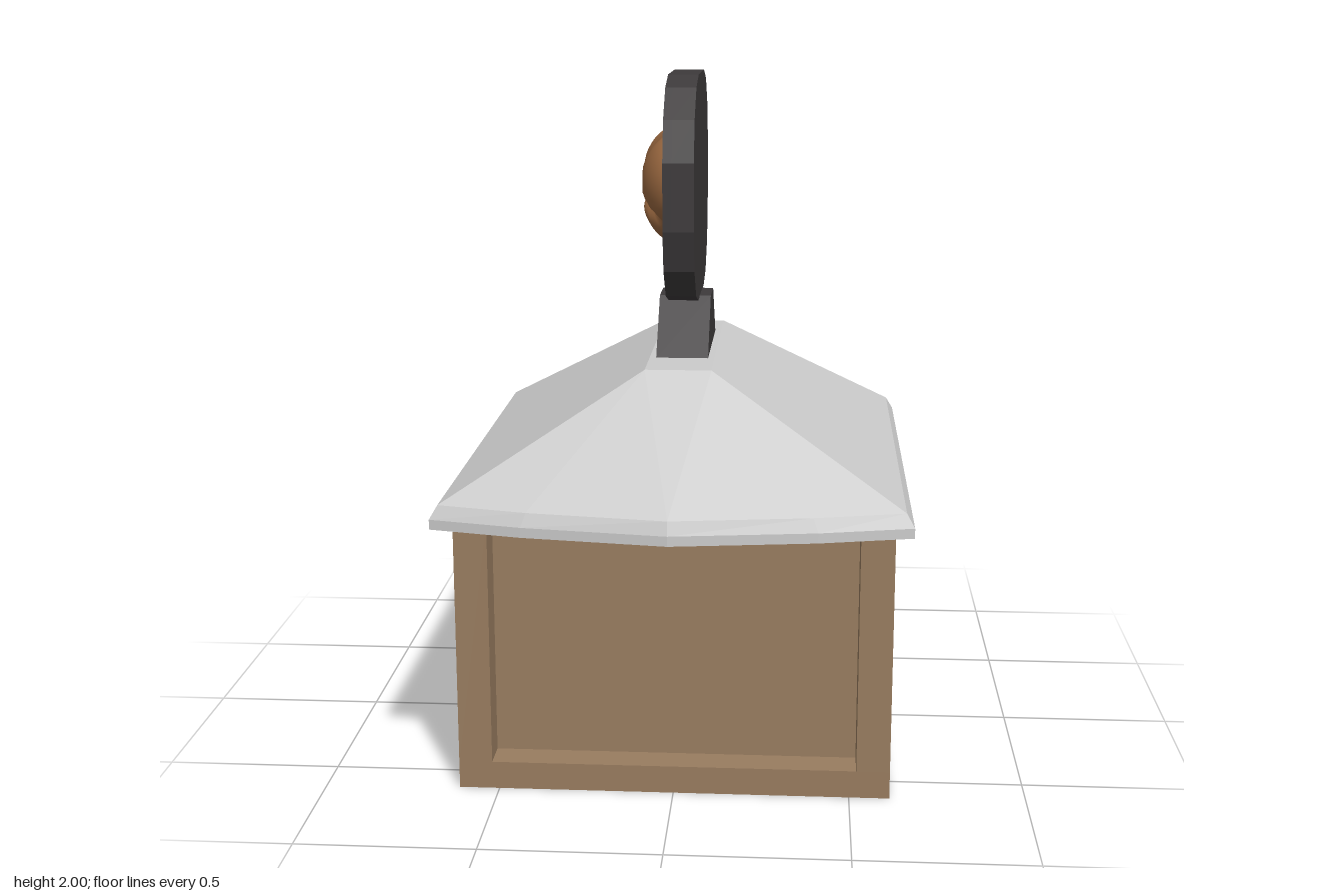
import * as THREE from 'three';

const mat = (color, extra = {}) => new THREE.MeshStandardMaterial({ color, ...extra });

function add(parent, name, geometry, material, x = 0, y = 0, z = 0) {
  const mesh = new THREE.Mesh(geometry, material);
  mesh.name = name;
  mesh.position.set(x, y, z);
  parent.add(mesh);
  return mesh;
}

// Hipped roof: stacked rings, bowed outward at front and back
function roofGeometry() {
  const half = [[0.66, -0.715], [0.66, 0.715], [0.4, 0.775], [0, 0.83], [-0.4, 0.775]];
  const eave = [...half, ...half.map(([x, z]) => [-x, -z])];
  const ring = (y, inset) => eave.map(([x, z]) =>
    [x - Math.sign(x) * inset * Math.min(1, Math.abs(x) / 0.66), y, z - Math.sign(z) * inset * 0.6]);
  // The upper ring collapses onto the four corners of the flat ridge
  const top = eave.map(([x, z], i) => [(i < 3 || i > 7 ? 1 : -1) * 0.095, 1.187, Math.sign(z) * 0.39]);
  const rings = [ring(0.802, 0), ring(0.83, 0), ring(0.868, 0.022), top];
  const pos = [];
  const tri = (a, b, c) => pos.push(...a, ...b, ...c);
  const n = eave.length;
  for (let i = 0; i < n; i++) {
    const j = (i + 1) % n;
    for (let k = 0; k < 3; k++) {
      const a = rings[k], b = rings[k + 1];
      tri(a[i], b[i], a[j]);
      if (b[i].some((v, m) => v !== b[j][m])) tri(a[j], b[i], b[j]);
    }
    tri([0, 0.802, 0], rings[0][i], rings[0][j]);
    tri([0, 1.187, 0], top[j], top[i]);
  }
  const g = new THREE.BufferGeometry();
  g.setAttribute('position', new THREE.Float32BufferAttribute(pos, 3));
  g.computeVertexNormals();
  return g;
}

// Rounded sixteen-sided outline of the sign
function signOutline(scale) {
  const q = [[0.37, 0.096], [0.335, 0.213], [0.25, 0.297], [0.138, 0.328]];
  const r = [...q].reverse();
  const all = [...q, ...r.map(([x, y]) => [-x, y]), ...q.map(([x, y]) => [-x, -y]), ...r.map(([x, y]) => [x, -y])];
  return all.map(([x, y]) => new THREE.Vector2(x * scale, y * scale));
}

// Extrudes a shape drawn in the side plane from x = from towards -x
function sideExtrude(shape, from, depth) {
  const g = new THREE.ExtrudeGeometry(shape, { depth, bevelEnabled: false });
  g.rotateY(-Math.PI / 2);
  g.translate(from, 0, 0);
  return g;
}

// Dome facing -x with three creases meeting near its middle
function emblemGeometry() {
  const g = new THREE.SphereGeometry(1, 48, 24, 0, Math.PI * 2, 0, Math.PI / 2);
  g.rotateZ(Math.PI / 2);
  const p = g.attributes.position;
  const creases = [1.35, 3.35, 5.5];
  for (let i = 0; i < p.count; i++) {
    const h = -p.getX(i), y = p.getY(i), z = p.getZ(i);
    const r = Math.hypot(y, z), a = Math.atan2(y, z);
    let dip = 0.35 * Math.exp(-((r / 0.25) ** 2));
    for (const c of creases) {
      const d = Math.cos(a - c) > 0 ? r * Math.sin(a - c) : r;
      dip = Math.max(dip, 0.35 * Math.exp(-((d / 0.13) ** 2)));
    }
    const lobe = 1 + 0.03 * Math.cos(3 * (a - 2.35));
    p.setXYZ(i, -0.12 * h * (1 - dip), y * 0.176 * lobe, z * 0.176 * lobe);
  }
  g.computeVertexNormals();
  return g;
}

export function createModel() {
  const model = new THREE.Group();
  model.name = 'kiosk';
  const wood = mat(0x997d60);
  const dark = mat(0x3d3a3b);

  // Body: base slab, recessed walls and four corner posts
  const body = new THREE.Group();
  body.name = 'body';
  model.add(body);
  add(body, 'base', new THREE.BoxGeometry(1.23, 0.08, 1.23), wood, 0, 0.04, 0);
  add(body, 'walls', new THREE.BoxGeometry(1.04, 0.722, 1.04), wood, 0, 0.441, 0);
  for (const x of [-1, 1]) for (const z of [-1, 1]) {
    add(body, 'cornerPost', new THREE.BoxGeometry(0.095, 0.722, 0.095), wood, x * 0.5675, 0.441, z * 0.5675);
  }

  add(model, 'roof', roofGeometry(), mat(0xcccccc, { flatShading: true }));

  // Tapered foot under the sign
  const foot = new THREE.Shape([[-0.22, 1.185], [0.22, 1.185], [0.07, 1.347], [-0.07, 1.347]]
    .map(([z, y]) => new THREE.Vector2(z, y)));
  add(model, 'signFoot', sideExtrude(foot, 0.076, 0.152), dark);

  // Sign: back plate, raised rim, inset panel and emblem
  const sign = new THREE.Group();
  sign.name = 'sign';
  sign.position.y = 1.672;
  model.add(sign);
  const rim = new THREE.Shape(signOutline(1));
  rim.holes.push(new THREE.Path(signOutline(0.82)));
  add(sign, 'signBack', sideExtrude(new THREE.Shape(signOutline(1)), 0.043, 0.063), dark);
  add(sign, 'signRim', sideExtrude(rim, -0.02, 0.025), dark);
  add(sign, 'signPanel', sideExtrude(new THREE.Shape(signOutline(0.82)), -0.02, 0.004), mat(0x808080));
  add(sign, 'emblem', emblemGeometry(), mat(0x9a6840), -0.02, 0, 0);
  return model;
}
